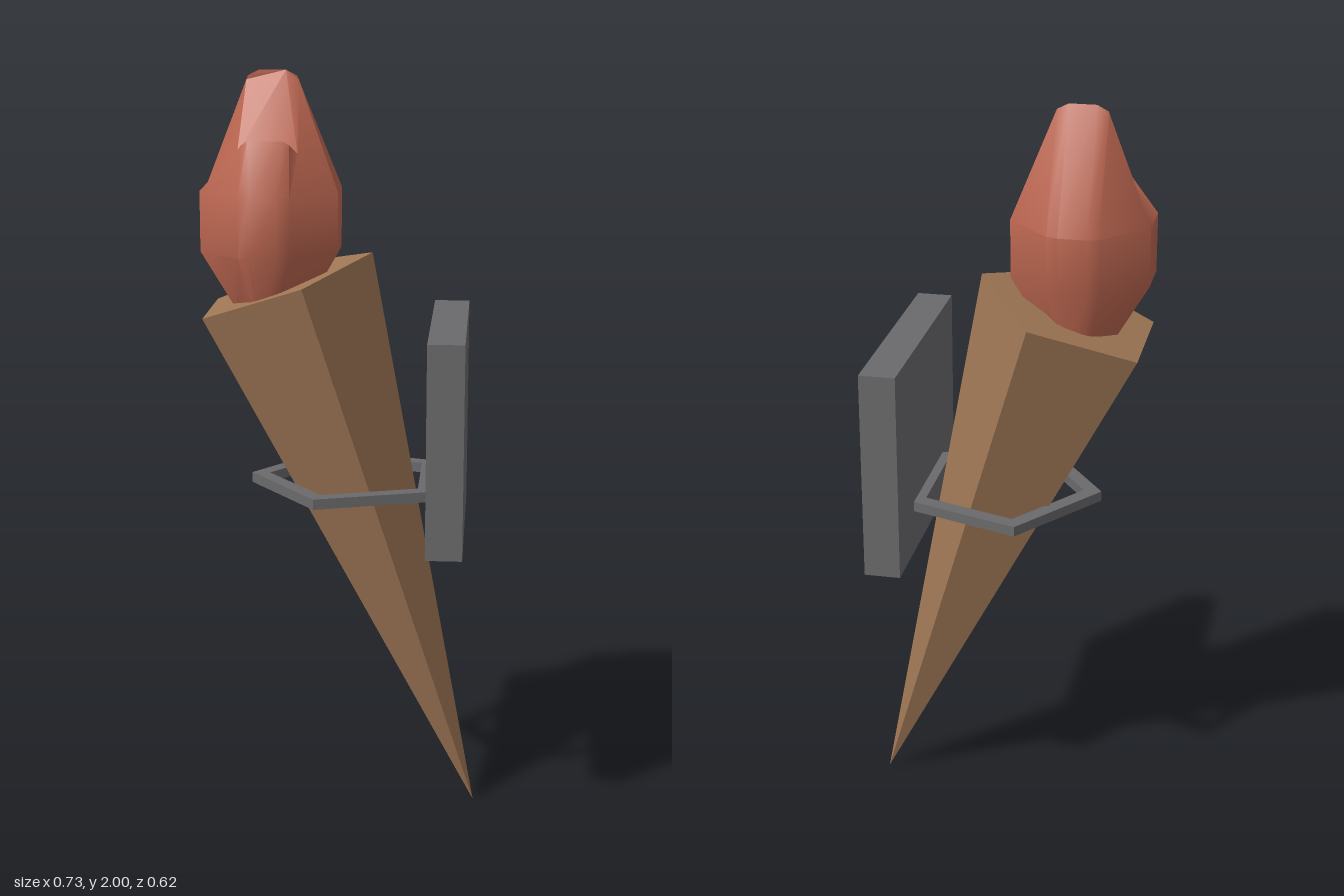
import * as THREE from 'three';
import { toCreasedNormals } from 'three/addons/utils/BufferGeometryUtils.js';

const makeMaterial = (name, color) => {
  const m = new THREE.MeshStandardMaterial({ color });
  m.name = name;
  return m;
};

// Full loop from the +x half of a section, running from back to front
const mirrorLoop = (half) => [
  ...half,
  ...[...half].reverse().map(([x, y, z]) => [-x, y, z]),
];

// Faceted flame: stacked sections, a tall rear ridge and a small front tongue
function flameGeometry() {
  const outline = [[0.035, -0.175], [0.065, -0.165], [0.178, -0.05], [0.178, 0.08], [0.065, 0.198], [0.035, 0.21]];
  const section = (y, sx, back, front) =>
    outline.map(([x, z]) => [x * sx, y, z < 0.015 ? 0.015 + (z - 0.015) * back : 0.015 + (z - 0.015) * front]);
  const tips = [
    [0.035, 2.0, -0.035], [0.064, 1.985, -0.035], [0.068, 1.975, -0.036],
    [0.077, 1.8, 0.1], [0.06, 1.825, 0.143], [0.045, 1.835, 0.15],
  ];
  const loops = [
    section(1.39, 0.5, 0.62, 0.66),
    section(1.545, 1, 0.88, 1),
    section(1.7, 1, 1, 1),
    tips,
  ].map(mirrorLoop);

  const n = 12;
  const index = [];
  for (let r = 0; r < loops.length - 1; r++) {
    for (let i = 0; i < n; i++) {
      const a = r * n + i, b = r * n + ((i + 1) % n);
      index.push(a, a + n, b, b, a + n, b + n);
    }
  }
  // Fans: underside, slope in front of the ridge, back of the tongue
  const fan = (offset, ids) => {
    for (let i = 1; i < ids.length - 1; i++) index.push(offset + ids[0], offset + ids[i], offset + ids[i + 1]);
  };
  fan(0, [...Array(n).keys()]);
  fan(3 * n, [0, 11, 10, 9, 8, 3, 2, 1]);
  fan(3 * n, [8, 7, 6, 5, 4, 3]);

  const g = new THREE.BufferGeometry();
  g.setAttribute('position', new THREE.Float32BufferAttribute(loops.flat(2), 3));
  g.setIndex(index);
  return toCreasedNormals(g, 0.6);
}

// Flat pentagonal band, pointing to -x
function ringGeometry(outer, inner, height) {
  const pentagon = (r) =>
    Array.from({ length: 5 }, (_, i) => {
      const a = Math.PI + (i * Math.PI * 2) / 5;
      return new THREE.Vector2(r * Math.cos(a), r * Math.sin(a));
    });
  const shape = new THREE.Shape(pentagon(outer));
  shape.holes.push(new THREE.Path(pentagon(inner)));
  const g = new THREE.ExtrudeGeometry(shape, { depth: height, bevelEnabled: false });
  return g.rotateX(-Math.PI / 2);
}

export function createModel() {
  const wood = makeMaterial('wood', 0x9e7654);
  const iron = makeMaterial('iron', 0x6a6a6c);
  const fire = makeMaterial('fire', 0xbd6751);

  const model = new THREE.Group();
  model.name = 'wallTorch';
  const add = (name, geometry, material, x, y, z) => {
    const mesh = new THREE.Mesh(geometry, material);
    mesh.name = name;
    mesh.position.set(x, y, z);
    model.add(mesh);
    return mesh;
  };

  // Five-sided tapering handle, its tip at the origin before leaning
  const handle = new THREE.CylinderGeometry(0.252, 0, 1.536, 5, 1, false, Math.PI / 2);
  handle.translate(0, 0.768, 0);
  const leaning = add('handle', toCreasedNormals(handle, 0.3), wood, 0.36, 0.005, 0);
  leaning.rotation.z = 0.3466;

  // Wall bracket
  add('wallPlate', new THREE.BoxGeometry(0.095, 0.56, 0.62), iron, 0.2775, 1.075, 0);
  add('holderRing', ringGeometry(0.27, 0.222, 0.027), iron, 0.025, 0.912, 0.0135);

  add('flame', flameGeometry(), fire, -0.187, 0, 0);
  return model;
}
